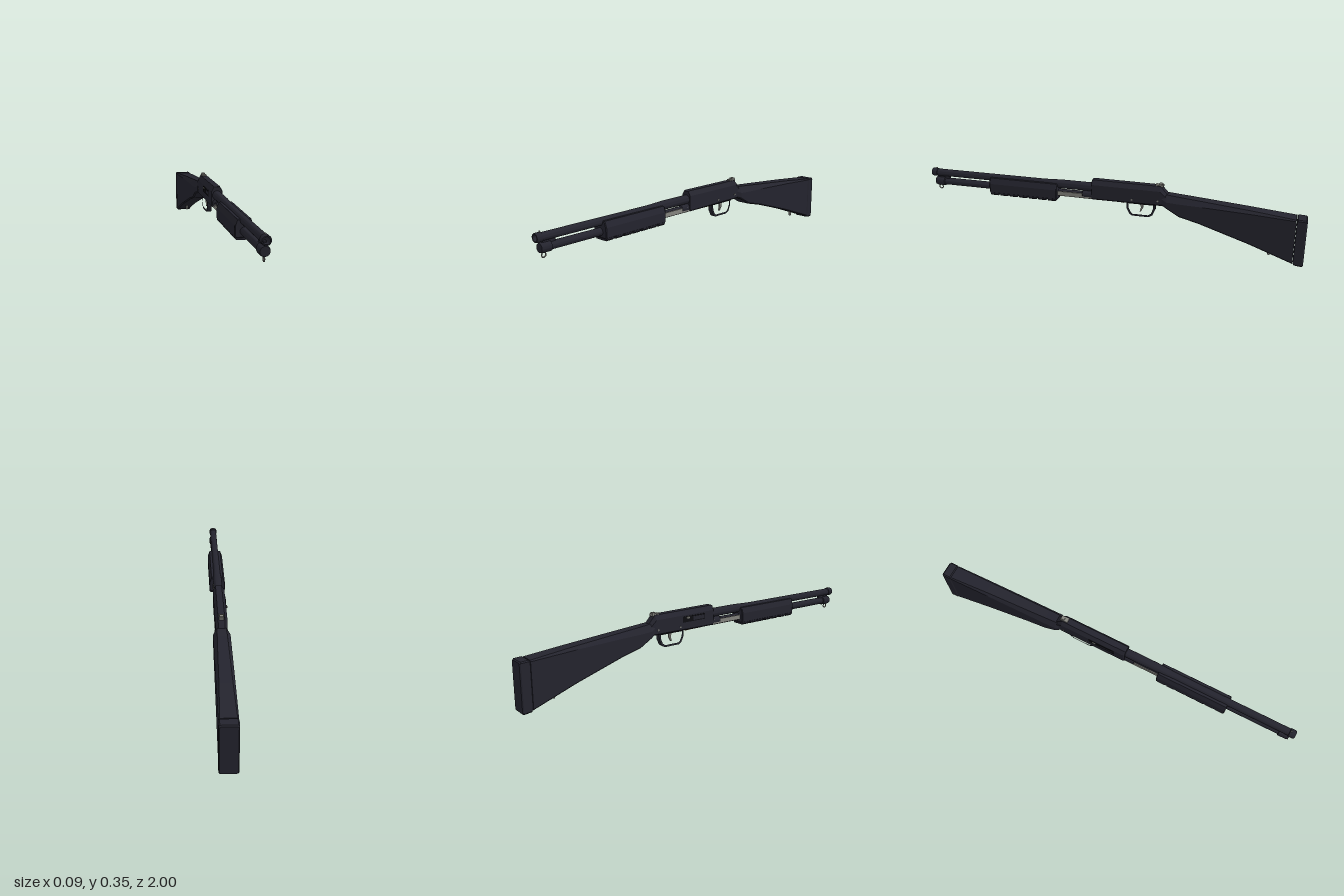
import * as THREE from 'three';
import { toCreasedNormals } from 'three/addons/utils/BufferGeometryUtils.js';

const mat = (name, color) => {
  const m = new THREE.MeshStandardMaterial({ color });
  m.name = name;
  return m;
};

// Flat-faced loft along z; each section is [z, right-hand half outline from bottom to top]
function loft(sections) {
  const rings = sections.map(([z, half]) => [
    ...half.map(([x, y]) => [x, y, z]),
    ...half.slice().reverse().map(([x, y]) => [-x, y, z]),
  ]);
  const pos = [];
  const tri = (a, b, c) => pos.push(...a, ...b, ...c);
  const n = rings[0].length;
  for (let i = 0; i < rings.length - 1; i++) {
    for (let j = 0; j < n; j++) {
      const k = (j + 1) % n;
      const a = rings[i][j], b = rings[i][k], c = rings[i + 1][k], d = rings[i + 1][j];
      tri(a, b, d);
      tri(b, c, d);
    }
  }
  const back = rings[0], front = rings[rings.length - 1];
  for (let j = 1; j < n - 1; j++) {
    tri(back[0], back[j + 1], back[j]);
    tri(front[0], front[j], front[j + 1]);
  }
  const g = new THREE.BufferGeometry();
  g.setAttribute('position', new THREE.Float32BufferAttribute(pos, 3));
  g.computeVertexNormals();
  return g;
}

// Chamfered box section: bottom, top, half width, top chamfer (x, y), bottom chamfer
const section = (z, yb, yt, w, cx, cy, b = 0.006) =>
  [z, [[w - b, yb], [w, yb + b], [w, yt - cy], [w - cx, yt]]];

// Turned part along z from [radius, z] pairs
function turned(points, y, segments = 28) {
  const g = new THREE.LatheGeometry(points.map(([r, z]) => new THREE.Vector2(r, z)), segments);
  g.rotateX(Math.PI / 2);
  g.translate(0, y, 0);
  return toCreasedNormals(g, 0.6);
}

// Side silhouette of [z, y] points, extruded across x
function sidePlate(outline, hole, width) {
  const pts = (list) => list.map(([z, y]) => new THREE.Vector2(z, y));
  const shape = new THREE.Shape(pts(outline));
  if (hole) shape.holes.push(new THREE.Path(pts(hole)));
  const g = new THREE.ExtrudeGeometry(shape, { depth: width, bevelEnabled: false });
  g.translate(0, 0, -width / 2);
  g.rotateY(-Math.PI / 2);
  return g;
}

export function createModel() {
  const model = new THREE.Group();
  const body = mat('blue black', 0x24242e);
  const steel = mat('grey steel', 0x85857f);
  const recess = mat('recess black', 0x0d0d11);
  const red = mat('shell red', 0x9c2f1c);
  const brass = mat('brass', 0xb8903c);

  const add = (name, geometry, material) => {
    const m = new THREE.Mesh(geometry, material);
    m.name = name;
    model.add(m);
    return m;
  };
  const box = (name, [w, h, d], [x, y, z], material) => {
    const m = add(name, new THREE.BoxGeometry(w, h, d), material);
    m.position.set(x, y, z);
    return m;
  };

  // Shoulder stock and butt pad
  add('stock', loft([
    section(-0.948, 0.011, 0.245, 0.042, 0.006, 0.006),
    section(-0.73, 0.09, 0.267, 0.042, 0.012, 0.015),
    section(-0.48, 0.17, 0.289, 0.042, 0.016, 0.026),
    section(-0.375, 0.197, 0.298, 0.042, 0.018, 0.032),
    section(-0.31, 0.235, 0.304, 0.042, 0.02, 0.034),
    section(-0.285, 0.245, 0.3, 0.03, 0.012, 0.02),
  ]), body);
  add('buttPad', loft([
    section(-1, 0.004, 0.24, 0.039, 0.006, 0.006),
    section(-0.994, 0, 0.245, 0.043, 0.006, 0.006),
    section(-0.955, 0.004, 0.247, 0.043, 0.006, 0.006),
    section(-0.95, 0.012, 0.243, 0.04, 0.006, 0.006),
  ]), body);
  const stud = add('rearSlingStud', new THREE.CylinderGeometry(0.008, 0.006, 0.03, 12), steel);
  stud.position.set(0, 0.046, -0.83);

  // Receiver with sloped rear
  add('receiver', loft([
    section(-0.315, 0.245, 0.3, 0.028, 0.012, 0.02),
    section(-0.275, 0.242, 0.343, 0.03, 0.014, 0.024),
    section(0.08, 0.24, 0.345, 0.03, 0.014, 0.024),
    section(0.085, 0.243, 0.342, 0.027, 0.012, 0.022),
  ]), body);
  box('ejectionPort', [0.004, 0.03, 0.14], [-0.03, 0.298, -0.045], recess);
  box('bolt', [0.005, 0.02, 0.07], [-0.031, 0.298, -0.015], body);
  box('extractor', [0.01, 0.008, 0.018], [-0.032, 0.306, -0.085], steel);
  box('loadingPort', [0.036, 0.004, 0.14], [0, 0.24, -0.025], recess);

  // Safety catch on the tang
  box('safetyBase', [0.024, 0.012, 0.04], [0, 0.343, -0.268], steel);
  box('safetyButton', [0.018, 0.008, 0.018], [0, 0.351, -0.276], steel);

  // Receiver pins, through both sides
  for (const [z, y] of [[-0.265, 0.268], [-0.13, 0.262]]) {
    const pin = add('receiverPin', new THREE.CylinderGeometry(0.005, 0.005, 0.064, 12), steel);
    pin.rotation.z = Math.PI / 2;
    pin.position.set(0, y, z);
  }

  // Loaded shell showing under the receiver
  add('shellCase', turned([[0.017, -0.062], [0.017, 0.015], [0.014, 0.02], [0, 0.02]], 0.249, 20), red);
  add('shellBase', turned([[0, -0.08], [0.019, -0.08], [0.019, -0.077], [0.0175, -0.075], [0.0175, -0.062]], 0.249, 20), brass);

  // Trigger and guard
  add('triggerGuard', sidePlate(
    [[-0.097, 0.245], [-0.1, 0.205], [-0.114, 0.176], [-0.128, 0.168], [-0.215, 0.168], [-0.235, 0.18], [-0.248, 0.21], [-0.25, 0.245]],
    [[-0.108, 0.234], [-0.111, 0.207], [-0.123, 0.184], [-0.132, 0.178], [-0.212, 0.178], [-0.227, 0.188], [-0.237, 0.212], [-0.239, 0.234]],
    0.024), body);
  add('trigger', sidePlate(
    [[-0.165, 0.24], [-0.174, 0.215], [-0.167, 0.193], [-0.172, 0.19], [-0.184, 0.212], [-0.185, 0.24]],
    null, 0.01), steel);

  // Barrel with open bore
  add('barrel', turned([
    [0.023, 0.07], [0.023, 0.25], [0.019, 0.35], [0.019, 0.968],
    [0.022, 0.97], [0.022, 0.994], [0.02, 1], [0.015, 1], [0.015, 0.9], [0, 0.9],
  ], 0.3), body);
  const bead = add('sightBead', new THREE.SphereGeometry(0.004, 10, 8), steel);
  bead.position.set(0, 0.324, 0.975);

  // Magazine tube, rear collar and end cap
  add('magazineTube', turned([[0.019, 0.07], [0.019, 0.95]], 0.252), body);
  add('magazineCollar', turned([[0.02, 0.08], [0.024, 0.084], [0.024, 0.135], [0.019, 0.14]], 0.257), body);
  add('magazineCap', turned([
    [0.019, 0.925], [0.024, 0.928], [0.024, 0.972], [0.021, 0.98], [0, 0.98],
  ], 0.252), body);
  box('barrelClamp', [0.014, 0.03, 0.07], [0, 0.277, 0.935], body);

  // Front sling ring
  const ring = add('frontSlingRing', new THREE.TorusGeometry(0.011, 0.003, 8, 20), steel);
  ring.rotation.y = Math.PI / 2;
  ring.position.set(0, 0.218, 0.96);

  // Action bars linking the fore-end to the receiver
  for (const x of [-0.02, 0.02]) box('actionBar', [0.005, 0.024, 0.23], [x, 0.253, 0.185], steel);

  // Sliding fore-end with ribbed underside
  add('foreEnd', loft([
    section(0.272, 0.226, 0.302, 0.039, 0.009, 0.026),
    section(0.276, 0.222, 0.306, 0.042, 0.011, 0.03),
    section(0.646, 0.222, 0.306, 0.042, 0.011, 0.03),
    section(0.65, 0.226, 0.302, 0.039, 0.009, 0.026),
  ]), body);
  for (let i = 0; i < 7; i++) {
    const z = 0.3 + i * 0.054;
    add('foreEndRib', loft([
      section(z - 0.021, 0.212, 0.236, 0.041, 0, 0.002, 0.008),
      section(z + 0.021, 0.212, 0.236, 0.041, 0, 0.002, 0.008),
    ]), body);
  }

  return model;
}
